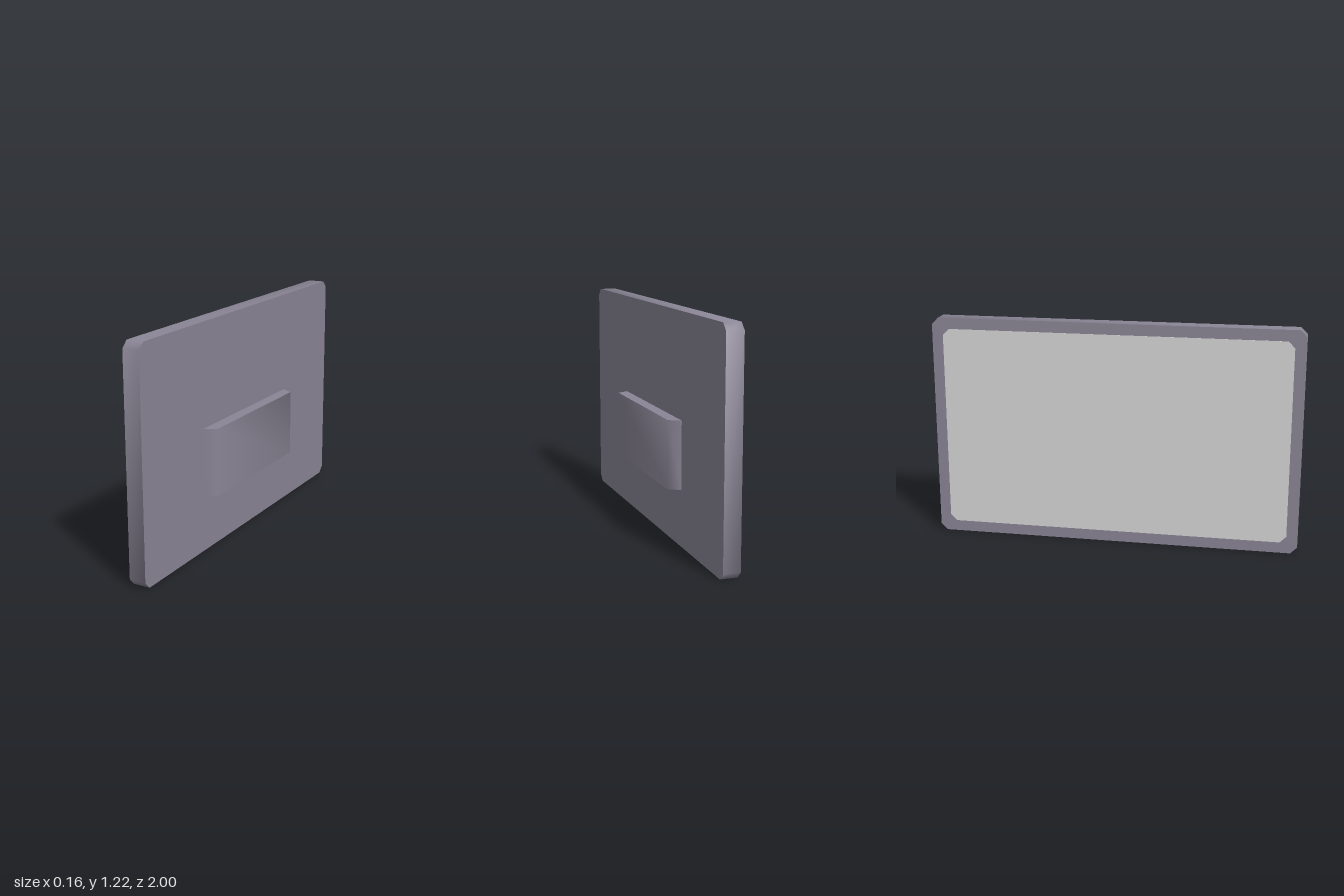
import * as THREE from 'three';
import { toCreasedNormals } from 'three/addons/utils/BufferGeometryUtils.js';

const HEIGHT = 1.22, BACK = 0.014, FACE = -0.077, BULGE = 0.077;

// Rectangle with cut corners, centred on the origin
function cutRect(w, h, c) {
  const x = w / 2, y = h / 2;
  return new THREE.Shape([
    [x - c, -y], [x, c - y], [x, y - c], [x - c, y],
    [c - x, y], [-x, y - c], [-x, c - y], [c - x, -y],
  ].map(([a, b]) => new THREE.Vector2(a, b)));
}

const extrude = (shape, depth) =>
  new THREE.ExtrudeGeometry(shape, { depth, bevelEnabled: false });

export function createModel() {
  const group = new THREE.Group();
  const casing = new THREE.MeshStandardMaterial({ name: 'greyPurpleCasing', color: 0x8a8595 });
  const glass = new THREE.MeshStandardMaterial({ name: 'lightGreyScreen', color: 0xd6d6d6 });

  const add = (name, geometry, material) => {
    const mesh = new THREE.Mesh(toCreasedNormals(geometry, 1.2), material);
    mesh.name = name;
    group.add(mesh);
  };

  // Flat panel standing in the z-y plane
  const panel = extrude(cutRect(2, HEIGHT, 0.036), BACK - FACE);
  panel.rotateY(Math.PI / 2).translate(FACE, HEIGHT / 2, 0);
  add('panel', panel, casing);

  // Thin screen on the -x side
  const screen = extrude(cutRect(1.88, HEIGHT - 0.12, 0.035), 0.004);
  screen.rotateY(Math.PI / 2).translate(FACE - 0.002, HEIGHT / 2, 0);
  add('screen', screen, glass);

  // Housing with slanted ends on the +x side
  const profile = new THREE.Shape([
    new THREE.Vector2(BACK, -0.447), new THREE.Vector2(BULGE, -0.415),
    new THREE.Vector2(BULGE, 0.415), new THREE.Vector2(BACK, 0.447),
  ]);
  const housing = extrude(profile, 0.363);
  housing.rotateX(-Math.PI / 2).translate(0, 0.304, 0);
  add('rearHousing', housing, casing);

  return group;
}
